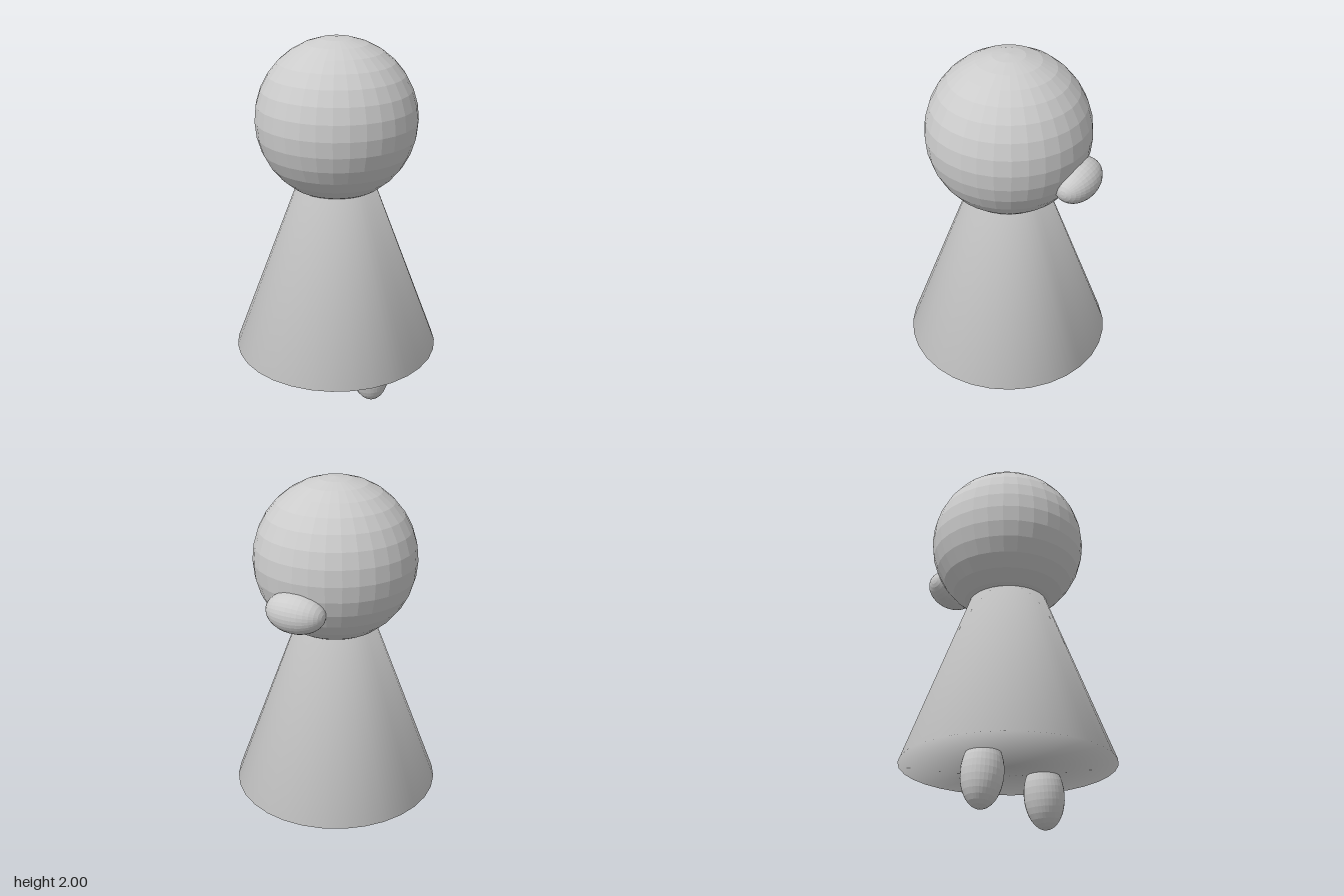
import * as THREE from 'three';
import { mergeVertices } from 'three/addons/utils/BufferGeometryUtils.js';

const faceted = new THREE.MeshStandardMaterial({ color: 0xcccccc, flatShading: true });
const smooth = new THREE.MeshStandardMaterial({ color: 0xcccccc });

// Faceted ellipsoid with its poles along its local y axis
function ellipsoid(name, [rx, ry, rz], [x, y, z], tilt = 0) {
  const geometry = new THREE.SphereGeometry(1, 32, 16).scale(rx, ry, rz);
  const mesh = new THREE.Mesh(geometry, faceted);
  mesh.name = name;
  mesh.position.set(x, y, z);
  mesh.rotation.z = tilt;
  return mesh;
}

// Closed cone whose side and base share smoothed rim normals
function smoothCone(radius, height) {
  const cone = new THREE.ConeGeometry(radius, height, 32);
  cone.deleteAttribute('normal');
  cone.deleteAttribute('uv');
  const merged = mergeVertices(cone);
  merged.computeVertexNormals();
  return merged;
}

export function createModel() {
  const model = new THREE.Group();
  model.name = 'figure';

  // Head and the bun at its back
  model.add(ellipsoid('head', [0.425, 0.425, 0.425], [0, 1.575, -0.005]));
  model.add(ellipsoid('bun', [0.105, 0.16, 0.108], [-0.005, 1.42, -0.408], Math.PI / 2));

  // Robe: the tip is buried in the head
  const bottom = 0.28, height = 1.5;
  const robe = new THREE.Mesh(smoothCone(0.56, height), smooth);
  robe.name = 'robe';
  robe.position.y = bottom + height / 2;
  model.add(robe);

  // Feet, splayed slightly outward
  for (const side of [1, -1]) {
    const name = side > 0 ? 'leftFoot' : 'rightFoot';
    model.add(ellipsoid(name, [0.107, 0.18, 0.107], [side * 0.262, 0.18, 0.04], side * 0.1));
  }
  return model;
}
